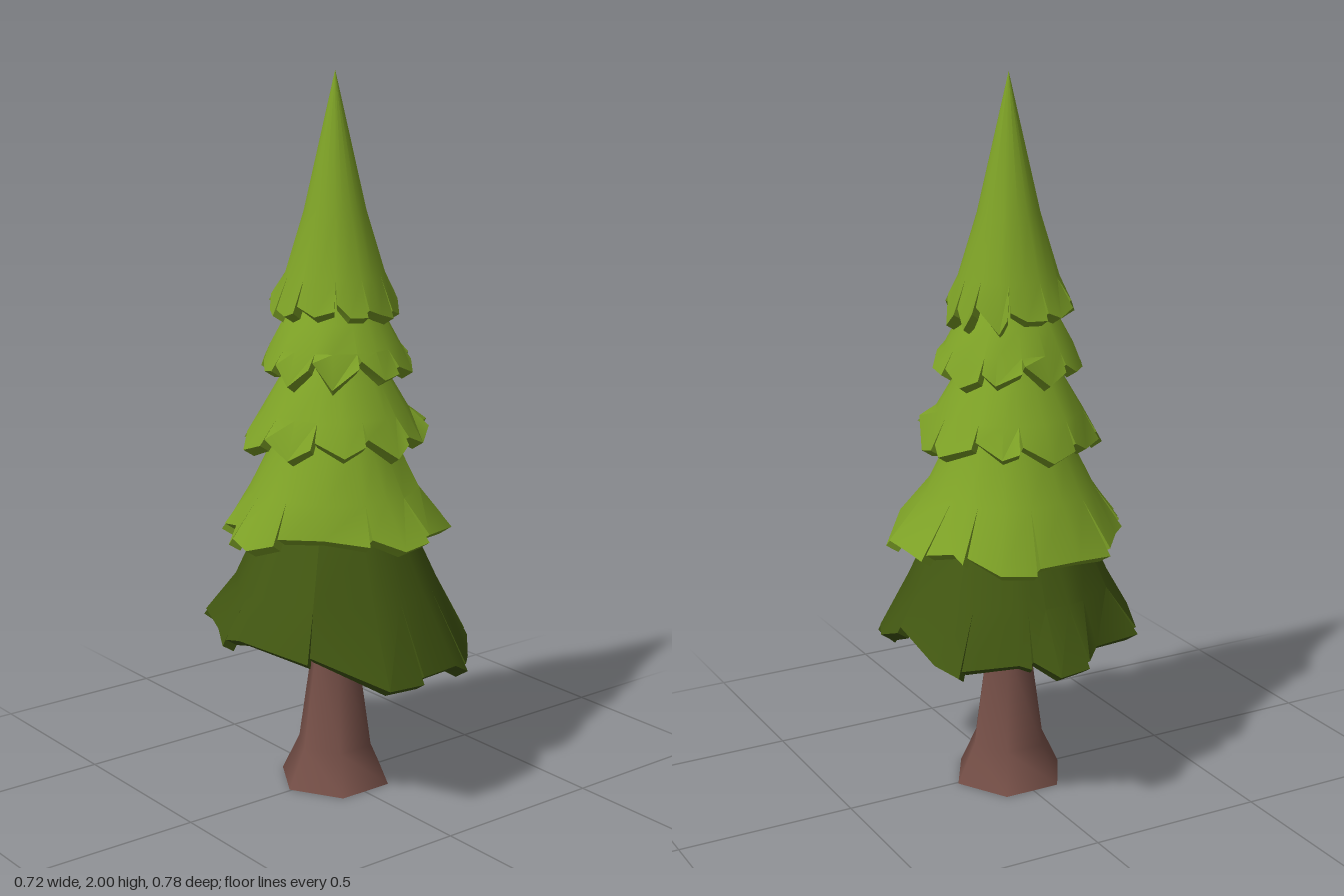
import * as THREE from 'three';
import { toCreasedNormals } from 'three/addons/utils/BufferGeometryUtils.js';

const leaf = new THREE.MeshStandardMaterial({ color: 0x7da126 });
leaf.name = 'lightGreen';
const darkLeaf = new THREE.MeshStandardMaterial({ color: 0x415611 });
darkLeaf.name = 'darkGreen';
const bark = new THREE.MeshStandardMaterial({ color: 0x754f47 });
bark.name = 'barkBrown';

// Small seeded generator, -1 to 1
function seeded(seed) {
  let s = seed;
  return () => {
    s = (s * 16807) % 2147483647;
    return (s / 2147483647) * 2 - 1;
  };
}

// Point at angle (degrees, from +x towards +z), radius and height
function polar(deg, r, y) {
  const a = THREE.MathUtils.degToRad(deg);
  return [r * Math.cos(a), y, r * Math.sin(a)];
}

// Scalloped hem, list of [angle, radius, height]: even points are the slits,
// odd points the lower tips of the branches
function roughHem(count, r, y, seed) {
  const rnd = seeded(seed);
  const hem = [];
  for (let i = 0; i < count; i++) {
    const drop = i % 2 ? -0.014 : 0.008;
    hem.push([(i + 0.25 * rnd()) * 360 / count, r * (1 + 0.05 * rnd()), y + drop + 0.02 * rnd()]);
  }
  return hem;
}

// Thick skirt of branches: rows are [radius, height] from the top down to
// where the slits begin; the hem follows. Gap is half a slit's width in degrees.
function skirt(rows, hem, thick, gap) {
  const pos = [];
  const tri = (a, b, c) => pos.push(...a, ...b, ...c);
  const quad = (a, b, c, d) => { tri(a, b, c); tri(a, c, d); };
  const n = hem.length;
  const last = rows.length;

  for (let i = 0; i < n; i++) {
    const p = hem[i];
    const q = hem[(i + 1) % n];
    const a0 = p[0];
    const a1 = i === n - 1 ? q[0] + 360 : q[0];
    const slit0 = i % 2 === 0;
    const slit1 = (i + 1) % n % 2 === 0;

    // Outer or inner edge of this panel, top to bottom
    const edge = (a, hemPoint, slit, side, inset) => {
      const dr = inset * 0.85, dy = inset * 0.55;
      const pts = rows.map(([r, y]) => polar(a, Math.max(r - dr, 0), y - dy));
      const lift = slit && side < 0 ? 0.018 : 0;
      pts.push(polar(a + (slit ? side * gap : 0), hemPoint[1] - dr - lift * 0.4,
        hemPoint[2] + 0.012 + lift - dy));
      return pts;
    };
    const o0 = edge(a0, p, slit0, 1, 0), o1 = edge(a1, q, slit1, -1, 0);
    const i0 = edge(a0, p, slit0, 1, thick), i1 = edge(a1, q, slit1, -1, thick);

    for (let k = 0; k < last; k++) {
      if (rows[k][0] === 0) {
        tri(o0[k], o1[k + 1], o0[k + 1]);
        tri(i0[k], i0[k + 1], i1[k + 1]);
      } else {
        quad(o0[k], o1[k], o1[k + 1], o0[k + 1]);
        quad(i0[k], i0[k + 1], i1[k + 1], i1[k]);
      }
    }
    // Rim and slit walls
    quad(o0[last], o1[last], i1[last], i0[last]);
    if (slit0) quad(o0[last - 1], o0[last], i0[last], i0[last - 1]);
    if (slit1) quad(o1[last - 1], i1[last - 1], i1[last], o1[last]);
  }
  const geo = new THREE.BufferGeometry();
  geo.setAttribute('position', new THREE.Float32BufferAttribute(pos, 3));
  return toCreasedNormals(geo, 0.5);
}

export function createModel() {
  const group = new THREE.Group();
  group.name = 'pineTree';
  const add = (name, geo, mat) => {
    const mesh = new THREE.Mesh(geo, mat);
    mesh.name = name;
    group.add(mesh);
  };

  // Flared six-sided trunk, running up inside the branches
  const profile = [[0, 0], [0.163, 0], [0.11, 0.11], [0.067, 0.4], [0.05, 1.05]]
    .map(([x, y]) => new THREE.Vector2(x, y));
  const trunk = new THREE.LatheGeometry(profile, 6, Math.PI / 2);
  trunk.translate(0.004, 0, -0.006);
  add('trunk', toCreasedNormals(trunk, 1.1), bark);

  // Wide dark skirt at the bottom
  const bottomHem = [
    [0, 0.347, 0.48], [13, 0.369, 0.45], [34, 0.375, 0.41], [44, 0.375, 0.37], [60, 0.395, 0.365],
    [70, 0.387, 0.4], [90, 0.39, 0.385], [107, 0.403, 0.39], [140, 0.345, 0.45], [177, 0.345, 0.48],
    [185, 0.364, 0.455], [197, 0.345, 0.48], [227, 0.378, 0.46], [253, 0.335, 0.47], [264, 0.387, 0.44],
    [278, 0.398, 0.435], [288, 0.357, 0.45], [294, 0.35, 0.46], [318, 0.39, 0.43], [330, 0.38, 0.45],
  ];
  add('bottomBranches', skirt([[0.1, 0.95], [0.215, 0.75], [0.284, 0.6]], bottomHem, 0.04, 0.4), darkLeaf);

  const lowerHem = [
    [12, 0.35, 0.71], [47, 0.325, 0.75], [76, 0.325, 0.75], [92, 0.32, 0.74], [108, 0.285, 0.755],
    [135, 0.26, 0.77], [162, 0.29, 0.75], [176, 0.322, 0.73], [189, 0.327, 0.73], [200, 0.285, 0.765],
    [211, 0.315, 0.74], [224, 0.305, 0.74], [241, 0.33, 0.71], [261, 0.315, 0.72], [284, 0.325, 0.7],
    [302, 0.345, 0.71], [319, 0.333, 0.73], [326, 0.32, 0.75], [340, 0.346, 0.72], [352, 0.34, 0.73],
  ];
  add('lowerBranches', skirt([[0.1, 1.15], [0.175, 0.99], [0.235, 0.87]], lowerHem, 0.04, 0.9), leaf);

  // Smaller skirts up to the pointed crown
  add('middleBranches',
    skirt([[0.07, 1.3], [0.15, 1.18], [0.203, 1.09]], roughHem(20, 0.25, 1.0, 421), 0.035, 1.1), leaf);
  add('upperBranches',
    skirt([[0.06, 1.45], [0.14, 1.34], [0.178, 1.27]], roughHem(20, 0.212, 1.2, 977), 0.035, 1.2), leaf);
  add('crown',
    skirt([[0, 2], [0.085, 1.63], [0.137, 1.46]], roughHem(22, 0.175, 1.35, 1553), 0.035, 1.3), leaf);

  return group;
}
